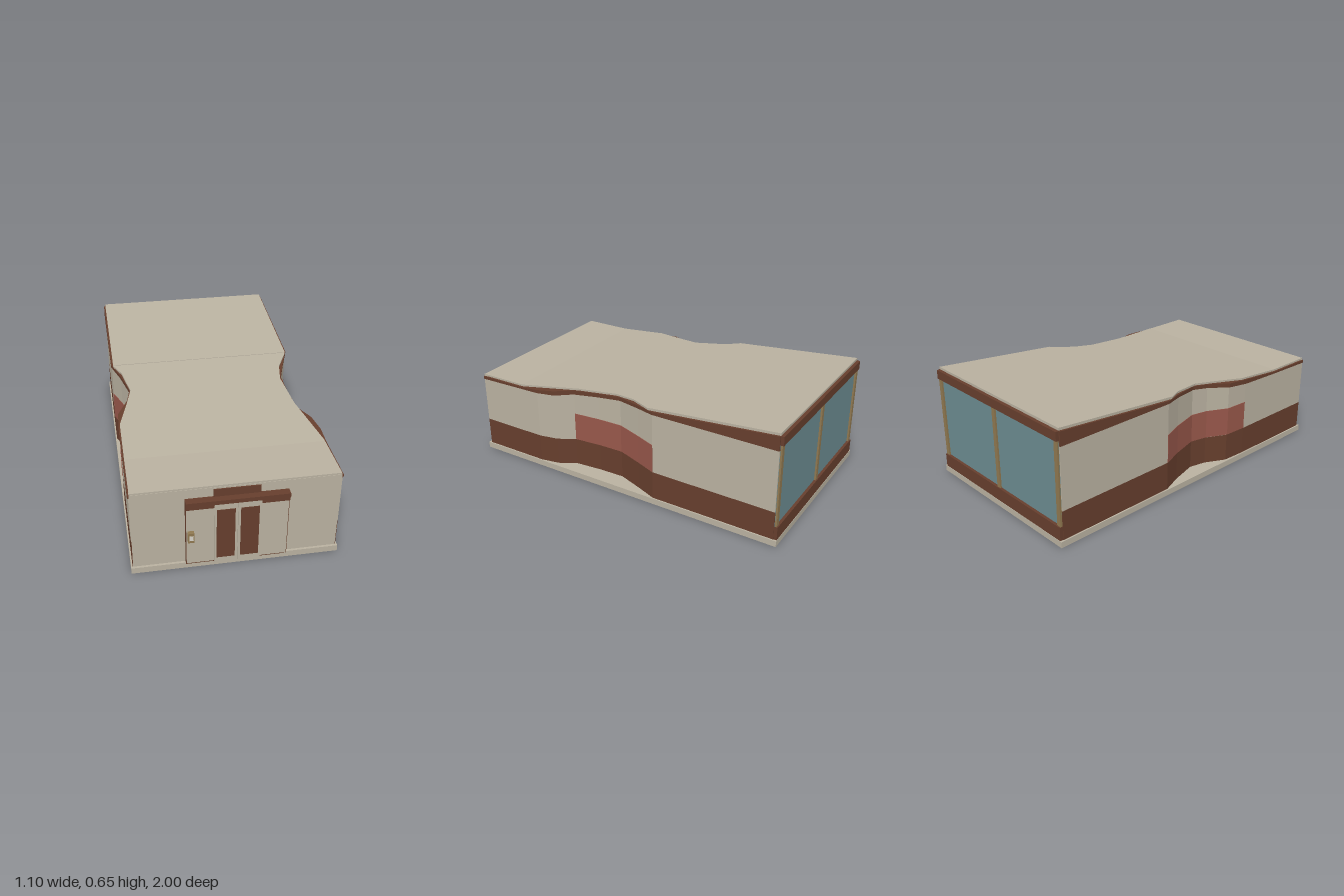
import * as THREE from 'three';

const mat = (name, color) => Object.assign(new THREE.MeshStandardMaterial({ color }), { name });

export function createModel() {
  const model = new THREE.Group();
  model.name = 'pavilion';
  const cream = mat('cream', 0xb9b1a0);
  const brown = mat('brown', 0x663e2d);
  const pink = mat('brick pink', 0x97574a);
  const teal = mat('teal glass', 0x6c8b90);
  const tan = mat('tan', 0x8f7850);
  const pale = mat('pale screen', 0xd6d3ca);

  // box given by its limits on each axis
  function box(name, material, x0, x1, y0, y1, z0, z1) {
    const m = new THREE.Mesh(new THREE.BoxGeometry(x1 - x0, y1 - y0, z1 - z0), material);
    m.position.set((x0 + x1) / 2, (y0 + y1) / 2, (z0 + z1) / 2);
    m.name = name;
    model.add(m);
  }

  // rectangular sections {z, x0, x1, y0, y1} joined from front to back
  function loft(name, material, sections) {
    const rings = sections.map(({ z, x0, x1, y0, y1 }) =>
      [[x0, y0, z], [x1, y0, z], [x1, y1, z], [x0, y1, z]]);
    const pos = [];
    const quad = (a, b, c, d) => pos.push(...a, ...b, ...c, ...a, ...c, ...d);
    quad(...rings[0]);
    for (let k = 0; k + 1 < rings.length; k++) {
      const s = rings[k], t = rings[k + 1];
      for (let i = 0; i < 4; i++) {
        const j = (i + 1) % 4;
        quad(s[i], t[i], t[j], s[j]);
      }
    }
    quad(...[...rings[rings.length - 1]].reverse());
    const g = new THREE.BufferGeometry();
    g.setAttribute('position', new THREE.Float32BufferAttribute(pos, 3));
    g.computeVertexNormals();
    const m = new THREE.Mesh(g, material);
    m.name = name;
    model.add(m);
  }

  // value along a polyline of [z, v] with falling z
  function along(path, z) {
    for (let i = 0; i + 1 < path.length; i++) {
      const [za, a] = path[i], [zb, b] = path[i + 1];
      if (z <= za && z >= zb) return a + (b - a) * (za - z) / (za - zb);
    }
    return path[path.length - 1][1];
  }

  // plan outlines as [z, distance from the centre line]
  const wallRight = [[0.95, 0.54], [0.54, 0.54], [0.43, 0.518], [0.33, 0.463], [0.17, 0.448],
    [0.02, 0.444], [-0.13, 0.495], [-0.25, 0.54], [-0.98, 0.54]];
  const wallLeft = [[0.95, 0.54], [0.39, 0.54], [0.25, 0.533], [0.13, 0.473], [0.03, 0.452],
    [-0.13, 0.495], [-0.25, 0.54], [-0.98, 0.54]];
  const roofRight = [[0.95, 0.536], [0.65, 0.533], [0.3, 0.458], [0.05, 0.437],
    [-0.08, 0.462], [-0.22, 0.533], [-0.98, 0.536]];
  const roofLeft = [[0.95, 0.536], [0.36, 0.536], [0.17, 0.482], [0.05, 0.452],
    [-0.13, 0.488], [-0.22, 0.533], [-0.98, 0.536]];
  const roofTop = [[0.95, 0.505], [0.66, 0.505], [-0.98, 0.65]];
  const trimBottom = [[0.95, 0.474], [0.43, 0.484], [-0.25, 0.555], [-0.98, 0.555]];
  const roofThick = 0.013;

  box('baseSlab', cream, -0.548, 0.548, 0, 0.035, -1, 0.965);

  // sloping roof, pinched at both sides
  const roofZ = [...new Set([...roofRight, ...roofLeft, ...roofTop].map(p => p[0]))].sort((a, b) => b - a);
  const roofSection = lift => z => ({
    z, x0: -along(roofLeft, z), x1: along(roofRight, z),
    y0: along(roofTop, z) - roofThick, y1: along(roofTop, z) + lift,
  });
  loft('frontRoof', cream, roofZ.filter(z => z >= -0.22).map(roofSection(-0.002)));
  loft('backRoof', cream, roofZ.filter(z => z <= -0.22).map(roofSection(0.001)));

  // curved side walls in horizontal bands
  for (const [label, sign, path] of [['right', 1, wallRight], ['left', -1, wallLeft]]) {
    const band = (name, material, points, lo, hi, out, depth) =>
      loft(name, material, points.map(([z, x]) => {
        const a = sign * (x + out), b = sign * (x + out - depth);
        return { z, x0: Math.min(a, b), x1: Math.max(a, b), y0: lo(z), y1: hi(z) };
      }));
    const side = sign > 0 ? 'left' : 'right';
    band(side + 'LowerWall', brown, path, () => 0.035, () => 0.2, 0, 0.02);
    band(side + 'UpperWall', cream, path, () => 0.2, z => along(trimBottom, z), 0, 0.02);
    band(side + 'AccentPanel', pink, path.filter(([z]) => z < 0.4 && z > -0.3 && (sign < 0 || z < 0.34)),
      () => 0.202, () => 0.37, 0.003, 0.006);
    // the trim needs the kink of the roof as an extra section
    const trimPath = [...path, [0.66, 0.54]].sort((a, b) => b[0] - a[0]);
    band(side + 'RoofTrim', brown, trimPath, z => along(trimBottom, z),
      z => along(roofTop, z) - roofThick - 0.001, 0.005, 0.07);
  }

  // front wall with entrance
  box('frontWall', cream, -0.537, 0.537, 0.035, 0.493, 0.925, 0.952);
  box('signPanel', brown, -0.12, 0.12, 0.44, 0.484, 0.95, 0.958);
  box('entranceHeader', brown, -0.265, 0.265, 0.39, 0.44, 0.95, 0.984);
  box('headerLip', brown, -0.265, 0.265, 0.416, 0.44, 0.984, 0.994);
  box('doorSill', brown, -0.265, 0.265, 0.035, 0.039, 0.95, 0.976);
  for (const s of [-1, 1]) {
    const span = (name, material, a, b, ...rest) =>
      box(name, material, Math.min(s * a, s * b), Math.max(s * a, s * b), ...rest);
    span('entrancePanel', cream, 0.12, 0.262, 0.037, 0.39, 0.95, 0.976);
    span('entrancePanelEdge', brown, 0.262, 0.265, 0.037, 0.39, 0.95, 0.975);
    span('door', cream, 0.001, 0.12, 0.04, 0.414, 0.95, 0.988);
    span('doorWindow', brown, 0.014, 0.109, 0.069, 0.379, 0.986, 0.99);
  }
  box('keypad', tan, -0.256, -0.224, 0.192, 0.252, 0.976, 0.998);
  box('keypadScreen', pale, -0.249, -0.228, 0.207, 0.236, 0.996, 1);

  // glazed back wall
  box('backGlass', teal, -0.535, 0.535, 0.1, 0.595, -0.982, -0.97);
  box('backLowerBeam', brown, -0.537, 0.537, 0.035, 0.112, -0.998, -0.965);
  box('backUpperBeam', brown, -0.537, 0.537, 0.585, 0.636, -0.998, -0.965);
  for (const x of [-0.522, 0, 0.522])
    box('backPost', tan, x - 0.013, x + 0.013, 0.112, 0.585, -0.992, -0.968);

  return model;
}
